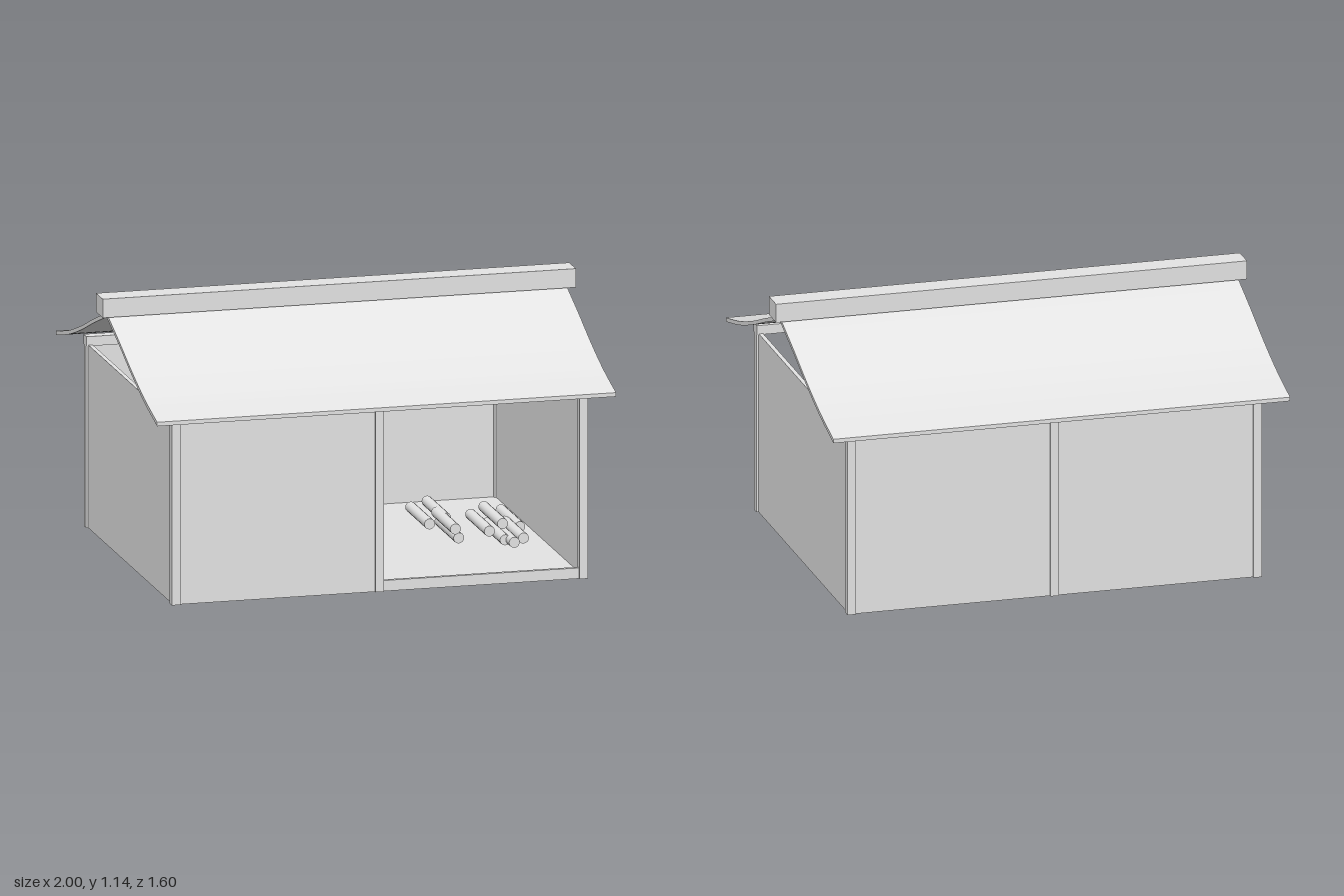
import * as THREE from 'three';

export function createModel() {
  const group = new THREE.Group();
  const grey = new THREE.MeshStandardMaterial({ color: 0xe5e5e5, side: THREE.DoubleSide });
  grey.name = 'pale grey';

  const add = (name, geometry) => {
    const mesh = new THREE.Mesh(geometry, grey);
    mesh.name = name;
    group.add(mesh);
    return mesh;
  };
  // Box given by its lower and upper limits on each axis
  const box = (name, x0, x1, y0, y1, z0, z1) =>
    add(name, new THREE.BoxGeometry(x1 - x0, y1 - y0, z1 - z0))
      .position.set((x0 + x1) / 2, (y0 + y1) / 2, (z0 + z1) / 2);

  // Posts, eave beams and the panels between them
  for (const s of [-1, 1]) {
    const side = s > 0 ? 'front' : 'back';
    const z = s * 0.677;
    for (const x of [-0.862, 0, 0.862])
      box(side + 'Post', x - 0.018, x + 0.018, 0, 0.768, z - 0.018, z + 0.018);
    box(side + 'Beam', -0.88, 0.88, 0.766, 0.806, z - 0.023, z + 0.023);
    box(side + 'PanelRight', -0.844, -0.018, 0, 0.766, z - 0.009, z + 0.009);
    if (s < 0) box('backPanelLeft', 0.018, 0.844, 0, 0.766, z - 0.009, z + 0.009);
    box('sideWall', s * 0.862 - 0.009, s * 0.862 + 0.009, 0, 0.77, -0.659, 0.659);
  }
  box('doorSill', 0.018, 0.844, 0, 0.045, 0.668, 0.686);

  // Floor with one open corner behind the closed front bay
  const floor = new THREE.Shape([
    [-0.853, 0.668], [0.853, 0.668], [0.853, -0.668],
    [-0.42, -0.668], [-0.42, -0.27], [-0.853, 0.03],
  ].map(([x, y]) => new THREE.Vector2(x, y)));
  add('floor', new THREE.ShapeGeometry(floor).rotateX(-Math.PI / 2)).position.y = 0.018;

  // Gently sagging roof: one curved section swept along the ridge
  const half = new THREE.SplineCurve([
    [0, 1.069], [0.2, 0.997], [0.4, 0.919], [0.6, 0.852], [0.8, 0.802],
  ].map(([z, y]) => new THREE.Vector2(z, y))).getPoints(16);
  const top = [...half.slice(1).reverse().map(p => new THREE.Vector2(-p.x, p.y)), ...half];
  const under = top.map(p => new THREE.Vector2(p.x, p.y - 0.017)).reverse();
  const roof = new THREE.ExtrudeGeometry(new THREE.Shape([...top, ...under]),
    { depth: 1.94, bevelEnabled: false });
  add('roof', roof.translate(0, 0, -0.97).rotateY(-Math.PI / 2));
  box('ridgeBeam', -1, 1, 1.063, 1.142, -0.053, 0.053);

  // Loose logs poking out of the open bay: x, y, front end z
  const logs = [
    [0.23, 0.253, 0.62], [0.31, 0.253, 0.73], [0.32, 0.253, 0.54],
    [0.435, 0.253, 0.8], [0.52, 0.253, 0.69],
    [0.34, 0.199, 0.67], [0.515, 0.199, 0.75], [0.54, 0.199, 0.8],
    [0.595, 0.199, 0.74], [0.63, 0.199, 0.55],
  ];
  const logGeometry = new THREE.CylinderGeometry(0.0225, 0.0225, 0.3, 16).rotateX(Math.PI / 2);
  for (const [x, y, z] of logs) add('log', logGeometry).position.set(x, y, z - 0.15);

  return group;
}
